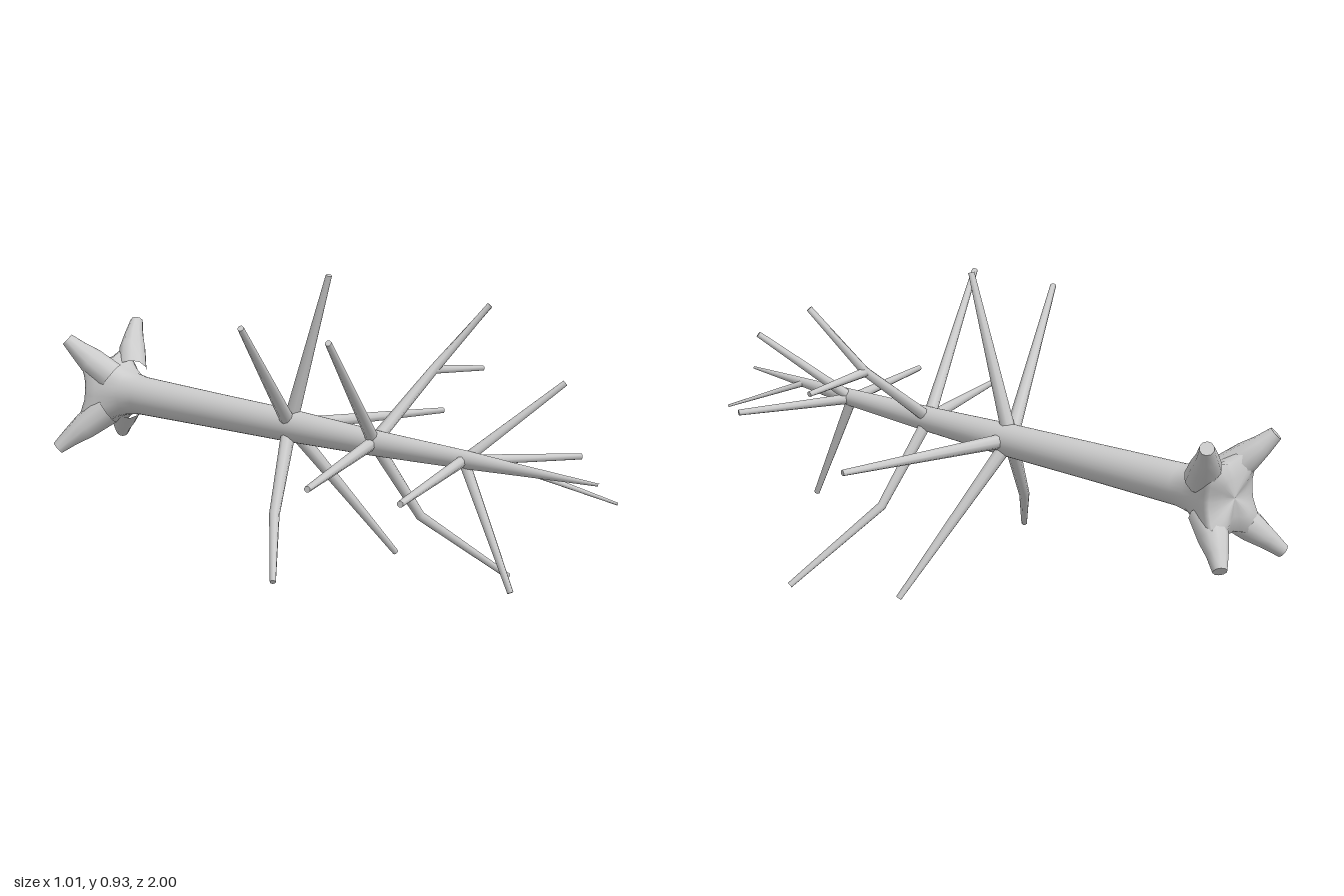
import * as THREE from 'three';

const material = new THREE.MeshStandardMaterial({ color: 0xcccccc });

// Tapered limb through stations [x, y, z, radius], with a flat end cap
function limbGeometry(stations, sides) {
  const pts = stations.map(s => new THREE.Vector3(s[0], s[1], s[2]));
  const pos = [], idx = [], ref = new THREE.Vector3(0.13, 0.97, 0.2).normalize();
  const addRing = i => {
    const t = pts[Math.min(i + 1, pts.length - 1)].clone().sub(pts[Math.max(i - 1, 0)]).normalize();
    const r = Math.abs(t.dot(ref)) > 0.9 ? new THREE.Vector3(1, 0, 0) : ref;
    const u = t.clone().cross(r).normalize(), v = t.clone().cross(u);
    for (let j = 0; j < sides; j++) {
      const a = (j / sides) * Math.PI * 2;
      const p = pts[i].clone().addScaledVector(u, Math.cos(a) * stations[i][3]).addScaledVector(v, Math.sin(a) * stations[i][3]);
      pos.push(p.x, p.y, p.z);
    }
  };
  pts.forEach((p, i) => addRing(i));
  for (let i = 0; i < pts.length - 1; i++)
    for (let j = 0; j < sides; j++) {
      const a = i * sides + j, b = i * sides + (j + 1) % sides;
      idx.push(a, b, a + sides, b, b + sides, a + sides);
    }
  const cap = pos.length / 3;
  addRing(pts.length - 1);
  const e = pts[pts.length - 1];
  pos.push(e.x, e.y, e.z);
  for (let j = 0; j < sides; j++) idx.push(cap + sides, cap + j, cap + (j + 1) % sides);
  const g = new THREE.BufferGeometry();
  g.setAttribute('position', new THREE.Float32BufferAttribute(pos, 3));
  g.setIndex(idx);
  g.computeVertexNormals();
  return g;
}

function addLimb(group, name, stations, sides = 8) {
  const mesh = new THREE.Mesh(limbGeometry(stations, sides), material);
  mesh.name = name;
  group.add(mesh);
  return mesh;
}

const CX = -0.02, CY = 0.46;
// Root tips relative to the trunk axis
const rootTips = [[0.185, 0.185], [-0.11, 0.165], [-0.16, -0.175], [0.115, -0.165]];

export function createModel() {
  const model = new THREE.Group();
  model.name = 'fallenTree';

  // Trunk lying along z, from the thin tip back to the flared base
  const trunk = addLimb(model, 'trunk', [
    [-0.037, 0.475, 1, 0.004], [-0.03, 0.47, 0.75, 0.015], [CX, 0.465, 0.53, 0.026],
    [CX, CY, 0.2, 0.037], [-0.018, CY, -0.13, 0.048], [CX, CY, -0.45, 0.053],
    [CX, CY, -0.76, 0.059], [CX, CY, -0.81, 0.065], [CX, CY, -0.85, 0.076],
    [CX, CY, -0.885, 0.09], [CX, CY, -0.91, 0.098], [CX, CY, -0.925, 0.094],
    [CX, CY, -0.935, 0.05], [CX, CY, -0.938, 0.0005],
  ], 32);
  // Pull the base out into lobes towards the roots
  const p = trunk.geometry.attributes.position;
  for (let i = 0; i < p.count; i++) {
    const f = THREE.MathUtils.smoothstep(-p.getZ(i), 0.78, 0.93);
    const x = p.getX(i) - CX, y = p.getY(i) - CY, r = Math.hypot(x, y);
    if (f === 0 || r < 0.002) continue;
    let lobe = 0;
    for (const [rx, ry] of rootTips) {
      const d = Math.acos(THREE.MathUtils.clamp((x * rx + y * ry) / (r * Math.hypot(rx, ry)), -1, 1));
      lobe = Math.max(lobe, Math.exp(-((d / 0.38) ** 2)));
    }
    const k = 1 + 0.5 * f * lobe;
    p.setXYZ(i, CX + x * k, CY + y * k, p.getZ(i) - 0.025 * f * lobe * Math.min(1, r / 0.09));
  }
  trunk.geometry.computeVertexNormals();

  // Roots
  const roots = new THREE.Group();
  roots.name = 'roots';
  model.add(roots);
  for (const [x, y] of rootTips)
    addLimb(roots, 'root', [[0.3, -0.87, 0.048], [0.6, -0.925, 0.042], [0.8, -0.957, 0.03], [1, -0.984, 0.02]]
      .map(([s, z, r]) => [CX + x * s, CY + y * s, z, r]), 10);

  // Whorls of branches: each path runs from the trunk to its tip
  const whorls = [
    { z: -0.13, r: 0.022, paths: [
      [[-0.033, 0.925, 0.038]],
      [[-0.412, 0.825, 0.06]],
      [[0.503, 0.445, 0.018]],
      [[0.308, 0.032, 0]],
      [[-0.185, 0.24, -0.035], [-0.322, 0.092, 0.09]],
    ] },
    { z: 0.2, r: 0.019, paths: [
      [[-0.505, 0.447, 0.395]],
      [[-0.412, 0.825, 0.385]],
      [[0.215, 0.645, 0.225], [0.322, 0.83, 0.34]],
      [[0.145, 0.22, 0.235], [0.402, 0.008, 0.36]],
    ] },
    { z: 0.53, r: 0.016, paths: [
      [[-0.465, 0.45, 0.685]],
      [[0.195, 0.672, 0.71]],
      [[-0.032, 0.122, 0.71]],
      [[0.29, 0.447, 0.7]],
    ] },
  ];
  whorls.forEach(({ z, r, paths }) => {
    const whorl = new THREE.Group();
    whorl.name = 'branchWhorl';
    model.add(whorl);
    for (const path of paths) {
      const n = path.length;
      addLimb(whorl, 'branch', [[CX, CY + 0.003, z, r],
        ...path.map((q, i) => [...q, THREE.MathUtils.lerp(r, 0.009, (i + 1) / n)])]);
    }
  });

  // Side fork and the small twig near the tip
  addLimb(model, 'forkBranch', [[0.21, 0.643, 0.225, 0.014], [0.427, 0.616, 0.232, 0.008]]);
  addLimb(model, 'tipTwig', [[-0.028, 0.472, 0.75, 0.01], [0.115, 0.387, 0.953, 0.004]]);
  return model;
}
